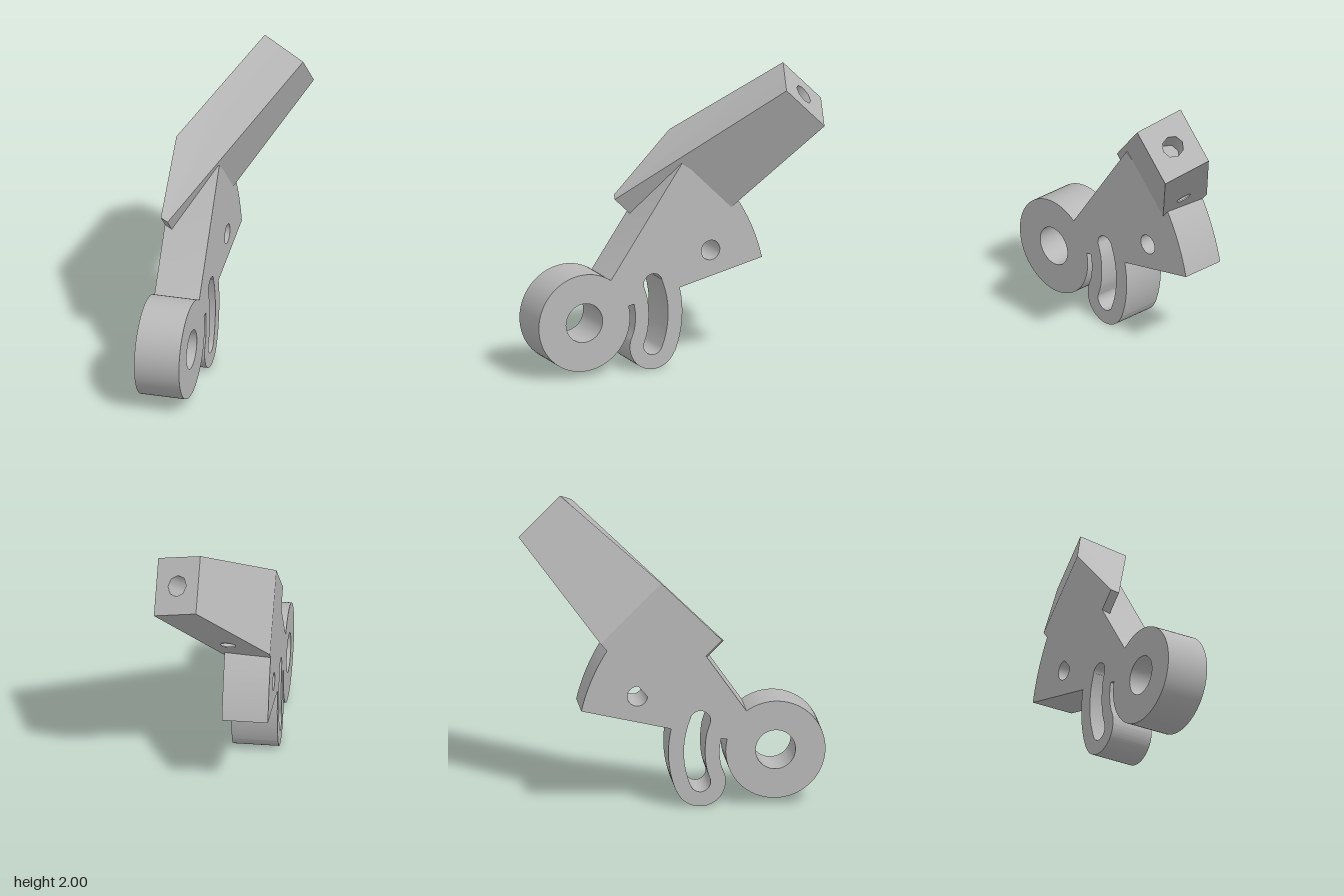
import * as THREE from 'three';
import { toCreasedNormals } from 'three/addons/utils/BufferGeometryUtils.js';

const grey = new THREE.MeshStandardMaterial({ color: 0xb8b8b8, side: THREE.DoubleSide });
grey.name = 'plain grey';

const V2 = (x, y) => new THREE.Vector2(x, y);
const rad = THREE.MathUtils.degToRad;

function add(parent, name, geometry) {
  const mesh = new THREE.Mesh(geometry, grey);
  mesh.name = name;
  parent.add(mesh);
  return mesh;
}

function circlePath(x, y, r, n) {
  const points = [];
  for (let i = 0; i < n; i++) {
    const a = (i / n) * Math.PI * 2;
    points.push(V2(x + r * Math.cos(a), y + r * Math.sin(a)));
  }
  return new THREE.Path(points);
}

// Flat plate with pivot ring, hooked foot and fan-shaped heel
function createPlate() {
  const cx = -0.655, cy = 0.37;
  const s = new THREE.Shape();
  s.moveTo(0.04, 1.36);
  s.lineTo(-0.465, 0.635);
  s.absarc(cx, cy, 0.325, rad(54.4), rad(374), false);
  s.lineTo(-0.3, 0.455);
  s.splineThru([V2(-0.29, 0.37), V2(-0.3, 0.28), V2(-0.325, 0.21), V2(-0.33, 0.165)]);
  s.absarc(-0.165, 0.168, 0.165, Math.PI, rad(337), false);
  s.absarc(cx, cy, 0.698, rad(-22), rad(13.2), false);
  s.lineTo(0.61, 0.665);
  s.absarc(cx, cy, 1.3, rad(13.2), rad(33), false);
  s.closePath();

  // Pivot bore, heel hole and curved slot
  s.holes.push(circlePath(cx, cy, 0.13, 48), circlePath(0.245, 0.755, 0.066, 32));
  const slot = new THREE.Path();
  slot.absarc(cx, cy, 0.597, rad(-22.5), rad(22.5), false);
  slot.absarc(-0.165, 0.577, 0.067, rad(20), rad(190), false);
  slot.splineThru([V2(-0.205, 0.48), V2(-0.196, 0.37), V2(-0.205, 0.265), V2(-0.232, 0.175)]);
  slot.absarc(-0.165, 0.167, 0.067, rad(175), rad(340), false);
  s.holes.push(slot);

  const geometry = new THREE.ExtrudeGeometry(s, { depth: 0.3, bevelEnabled: false, curveSegments: 32 });
  return toCreasedNormals(geometry, 0.5);
}

// Blind hole: open wall going down -z plus its floor
function addBore(parent, name, r, depth, n) {
  const bore = new THREE.Group();
  bore.name = name;
  add(bore, name + 'Wall', new THREE.CylinderGeometry(r, r, depth, n, 1, true)
    .rotateX(Math.PI / 2).translate(0, 0, -depth / 2));
  add(bore, name + 'Floor', new THREE.CircleGeometry(r, n).translate(0, 0, -depth));
  parent.add(bore);
  return bore;
}

// Tapered arm, built flat and then tilted back by 45 degrees
function createArm() {
  const arm = new THREE.Group();
  arm.name = 'arm';
  const A = V2(0.07, 1.909), B = V2(0.355, 1.759);
  const outline = [A, V2(-0.36, 1.13), V2(-0.36, 0.573), V2(-0.31, 0.548), B];
  const mid = A.clone().add(B).multiplyScalar(0.5);
  const along = V2(A.y - B.y, B.x - A.x).normalize();

  // The arm grows thicker away from its tip
  const dist = (p) => mid.clone().sub(p).dot(along);
  const high = (p) => 0.917 + 0.098 * Math.min(dist(p), 0.9);
  const low = (p) => 0.5345 - 0.1 * dist(p);
  const lift = (geometry, rule) => {
    const pos = geometry.attributes.position;
    for (let i = 0; i < pos.count; i++) pos.setZ(i, rule(V2(pos.getX(i), pos.getY(i))));
    geometry.computeVertexNormals();
    return geometry;
  };

  add(arm, 'armFront', lift(new THREE.ShapeGeometry(new THREE.Shape(outline)), high));

  // Underside with a screw hole
  const hole = mid.clone().addScaledVector(along, -0.66);
  const under = new THREE.Shape(outline);
  under.holes.push(circlePath(hole.x, hole.y, 0.05, 24));
  const underside = lift(new THREE.ShapeGeometry(under), low);
  underside.index.array.reverse();
  underside.computeVertexNormals();
  add(arm, 'armUnderside', underside);
  const screw = addBore(arm, 'screwHole', 0.05, 0.22, 24);
  screw.rotation.x = Math.PI;
  screw.position.set(hole.x, hole.y, low(hole));

  // Side walls between the outline corners
  const walls = [];
  for (let i = 0; i < outline.length - 1; i++) {
    const p = outline[i], q = outline[i + 1];
    const a = [p.x, p.y, low(p)], b = [q.x, q.y, low(q)];
    const c = [q.x, q.y, high(q)], d = [p.x, p.y, high(p)];
    walls.push(...a, ...b, ...c, ...a, ...c, ...d);
  }
  const sides = new THREE.BufferGeometry();
  sides.setAttribute('position', new THREE.Float32BufferAttribute(walls, 3));
  sides.computeVertexNormals();
  add(arm, 'armSides', sides);

  // Tip face with its socket
  const tip = new THREE.Group();
  tip.name = 'armTip';
  const w = A.distanceTo(B) / 2, h = (high(mid) - low(mid)) / 2;
  const face = new THREE.Shape([V2(-w, -h), V2(w, -h), V2(w, h), V2(-w, h)]);
  face.holes.push(circlePath(0, 0, 0.07, 8));
  add(tip, 'tipFace', new THREE.ShapeGeometry(face));
  addBore(tip, 'tipSocket', 0.07, 0.35, 8);
  const basis = new THREE.Matrix4().makeBasis(
    new THREE.Vector3(-along.y, along.x, 0),
    new THREE.Vector3(0, 0, 1),
    new THREE.Vector3(along.x, along.y, 0));
  tip.quaternion.setFromRotationMatrix(basis);
  tip.position.set(mid.x, mid.y, (high(mid) + low(mid)) / 2);
  arm.add(tip);

  arm.rotation.x = -Math.PI / 4;
  return arm;
}

export function createModel() {
  const model = new THREE.Group();
  model.name = 'leverBracket';
  const plate = add(model, 'plate', createPlate());
  plate.rotation.y = Math.PI / 2;
  plate.position.x = -0.36;
  model.add(createArm());
  return model;
}
